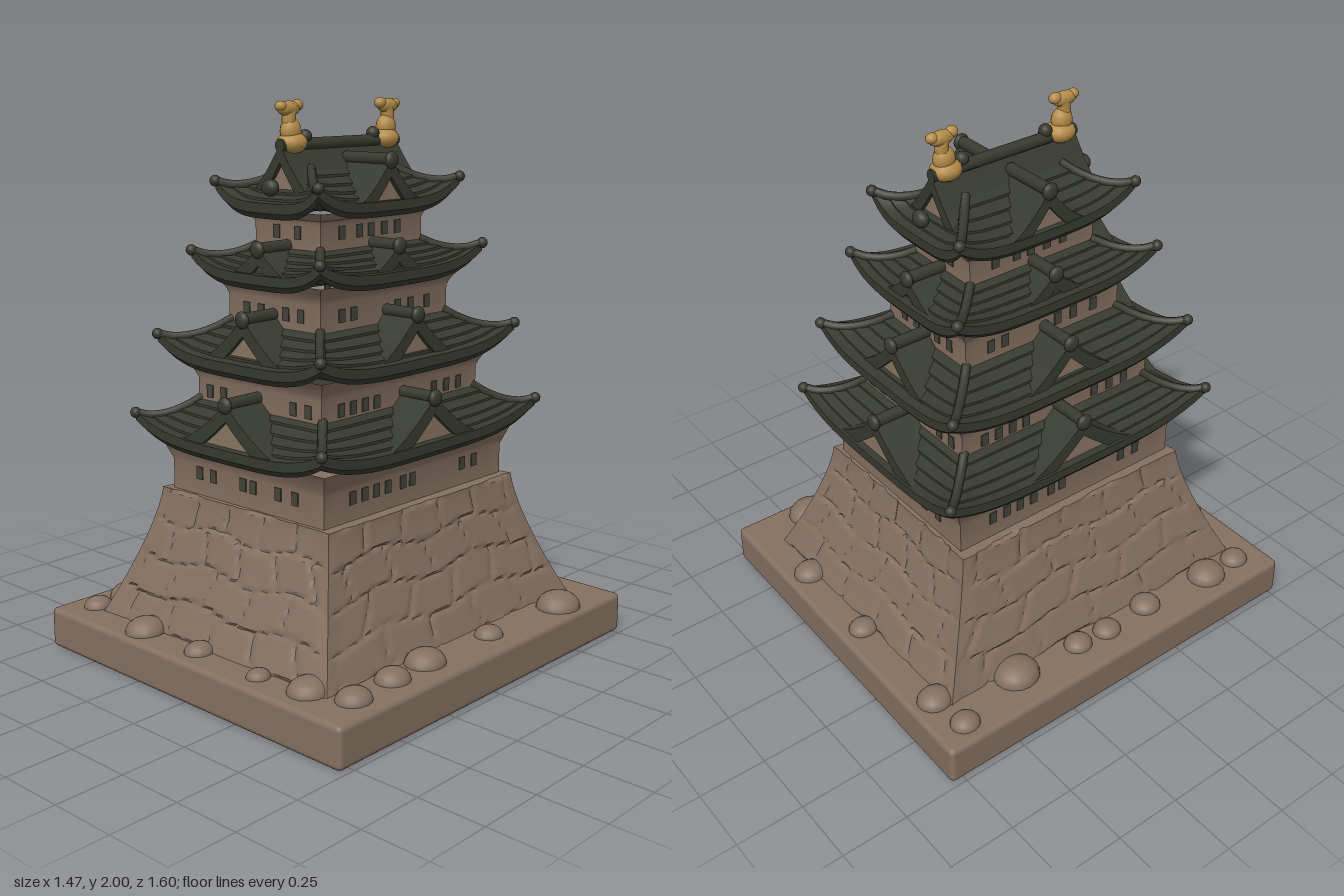
import * as THREE from 'three';
import { toCreasedNormals } from 'three/addons/utils/BufferGeometryUtils.js';
import { RoundedBoxGeometry } from 'three/addons/geometries/RoundedBoxGeometry.js';

const material = (name, color) => {
  const m = new THREE.MeshStandardMaterial({ color });
  m.name = name;
  return m;
};

// Skins a stack of rectangular rings [halfX, halfZ, y, cornerLift]; push moves a face point outwards
function loft(rings, segs = 16, push = () => 0) {
  const pos = [], index = [];
  for (let s = 0; s < 4; s++) {
    const start = pos.length / 3;
    rings.forEach(([hx, hz, y, lift = 0], j) => {
      for (let i = 0; i <= segs; i++) {
        const u = (i / segs) * 2 - 1;
        const d = push(u, j / (rings.length - 1), s);
        const p = [[u * hx, hz + d], [hx + d, -u * hz], [-u * hx, -hz - d], [-hx - d, u * hz]][s];
        pos.push(p[0], y + lift * Math.abs(u) ** 4, p[1]);
      }
    });
    for (let j = 0; j < rings.length - 1; j++) {
      for (let i = 0; i < segs; i++) {
        const a = start + j * (segs + 1) + i, b = a + segs + 1;
        index.push(a, a + 1, b + 1, a, b + 1, b);
      }
    }
  }
  const g = new THREE.BufferGeometry();
  g.setAttribute('position', new THREE.Float32BufferAttribute(pos, 3));
  g.setIndex(index);
  return toCreasedNormals(g, 0.6);
}

export function createModel() {
  const stone = material('stone', 0x857060);
  const plaster = material('plaster', 0x8a7463);
  const tile = material('roofTile', 0x373a30);
  const gold = material('gold', 0xb48c48);
  const dark = material('windowDark', 0x44433b);

  const model = new THREE.Group();
  model.name = 'castleTower';
  const add = (parent, name, geo, mat, x = 0, y = 0, z = 0) => {
    const m = new THREE.Mesh(geo, mat);
    m.name = name;
    m.position.set(x, y, z);
    parent.add(m);
    return m;
  };
  const ball = new THREE.SphereGeometry(1, 16, 10);
  const blob = (parent, name, mat, x, y, z, sx, sy, sz) =>
    add(parent, name, ball, mat, x, y, z).scale.set(sx, sy, sz);

  // Ground slab, very slightly skewed
  const slab = new RoundedBoxGeometry(1.47, 0.15, 1.58, 3, 0.02);
  slab.applyMatrix4(new THREE.Matrix4().set(1, 0, 0, 0, 0, 1, 0, 0, 0.015, 0, 1, 0, 0, 0, 0, 1));
  add(model, 'groundSlab', slab, stone, 0, 0.075, 0);

  // Boulders around the foot: x, z, radius
  [[-0.58, -0.4, 0.08], [-0.6, -0.13, 0.05], [-0.61, 0, 0.05], [-0.6, 0.2, 0.055], [-0.62, 0.5, 0.07],
    [-0.62, 0.65, 0.05], [-0.3, 0.69, 0.07], [-0.02, 0.69, 0.05], [0.28, 0.7, 0.04], [0.48, 0.67, 0.07],
    [0.63, 0.62, 0.06], [0.62, 0.42, 0.06], [0.61, 0.24, 0.07], [0.62, -0.1, 0.05], [0.64, -0.5, 0.08],
    [0.33, -0.69, 0.06], [-0.05, -0.7, 0.05], [-0.5, -0.7, 0.06], [-0.65, -0.68, 0.05],
  ].forEach(([x, z, r]) => blob(model, 'boulder', stone, x, 0.15, z, r, r * 0.75, r * 1.1));

  // Curved stone foundation with irregular blocks
  const rows = 44;
  const foundation = [];
  for (let j = 0; j <= rows; j++) {
    const v = j / rows, c = (1 - v) ** 1.35;
    foundation.push([0.41 + 0.155 * c, 0.5 + 0.175 * c, 0.14 + 0.48 * v]);
  }
  foundation.push([0, 0, 0.62]);
  add(model, 'stoneFoundation', loft(foundation, 64, (u, t, s) => {
    const r = t * 4 + 0.12 * Math.sin(u * 7 + s * 2);
    const row = Math.floor(r);
    const c = u * 2.6 + row * 0.43 + s * 0.3 + 0.12 * Math.sin(r * 2.3);
    const edge = Math.min(r - row, row + 1 - r, c - Math.floor(c), Math.floor(c) + 1 - c);
    const bulge = 0.006 * Math.sin(Math.floor(c) * 12.9 + row * 7.3 + s * 4.1);
    const fade = Math.min(1, (1 - Math.abs(u)) * 10) * (t > 0.98 ? 0 : 1);
    return fade * (bulge - 0.009 * Math.max(0, 1 - edge / 0.07));
  }), stone);

  // Curved gable facing +z: half width w, height h, from z0 to z1
  function gable(parent, w, h, z0, z1, y, angle, finial = true) {
    const g = new THREE.Group();
    g.name = 'gable';
    g.position.y = y;
    g.rotation.y = angle;
    const upper = [], lower = [];
    for (let i = -10; i <= 10; i++) {
      const t = i / 10, top = h * (1 - Math.abs(t)) ** 1.35;
      upper.push(new THREE.Vector2(t * w, top));
      lower.unshift(new THREE.Vector2(t * w, Math.max(-0.02, top - 0.06)));
    }
    const roof = new THREE.ExtrudeGeometry(new THREE.Shape([...upper, ...lower]),
      { depth: z1 - z0, bevelEnabled: false });
    add(g, 'gableRoof', toCreasedNormals(roof, 0.6), tile, 0, 0, z0);
    const panel = new THREE.Shape([[-0.62 * w, -0.02], [0.62 * w, -0.02], [0, h - 0.04]]
      .map(p => new THREE.Vector2(...p)));
    add(g, 'gablePanel', new THREE.ExtrudeGeometry(panel, { depth: 0.009, bevelEnabled: false }),
      plaster, 0, 0, z1 - 0.025);
    const ridge = new THREE.CylinderGeometry(0.022, 0.022, z1 - z0, 12).rotateX(Math.PI / 2);
    add(g, 'gableRidge', ridge, tile, 0, h - 0.002, (z0 + z1) / 2);
    if (finial) blob(g, 'gableFinial', tile, 0, h - 0.004, z1, 0.03, 0.03, 0.018);
    parent.add(g);
  }

  // Storeys: wall size, wall heights, eave size, top of the roof, gables and window positions
  const storeys = [
    { w: [0.37, 0.48], y: [0.6, 0.73], e: [0.455, 0.58], eave: 0.79, top: [0.29, 0.4, 0.96], lift: 0.065,
      gw: 0.24, gy: [0.84, 1.0], out: [0.445, 0.57], winY: 0.7,
      front: [-0.23, -0.16, -0.01, 0.04, 0.16, 0.24], side: [-0.34, -0.28, -0.22, -0.16, -0.08, -0.03, 0.25, 0.32] },
    { w: [0.3, 0.415], y: [0.9, 1.03], e: [0.395, 0.52], eave: 1.075, top: [0.21, 0.325, 1.24], lift: 0.065,
      gw: 0.21, gy: [1.12, 1.28], out: [0.365, 0.485], winY: 0.985,
      front: [-0.24, -0.17, 0.17, 0.24], side: [-0.32, -0.26, -0.2, -0.14, 0.17, 0.24, 0.31] },
    { w: [0.22, 0.335], y: [1.18, 1.33], e: [0.308, 0.43], eave: 1.37, top: [0.15, 0.26, 1.5], lift: 0.065,
      gw: 0.16, gy: [1.405, 1.51], out: [0.28, 0.41], winY: 1.285,
      front: [-0.13, -0.06, 0.06, 0.13], side: [-0.23, -0.17, 0.06, 0.13, 0.22] },
    { w: [0.155, 0.265], y: [1.46, 1.58], e: [0.245, 0.37], eave: 1.605, top: [0.05, 0.2, 1.77], lift: 0.07,
      gw: 0.15, gy: [1.66, 1.8], out: [0.24, 0], winY: 1.555,
      front: [-0.05, 0.05], side: [-0.16, -0.07, -0.01, 0.06, 0.13] },
  ];

  storeys.forEach((t, n) => {
    const g = new THREE.Group();
    g.name = 'storey' + (n + 1);
    model.add(g);
    const [wx, wz] = t.w, [ex, ez] = t.e, [tx, tz, ty] = t.top;

    // Walls flaring out under the eaves
    add(g, 'walls', loft([[wx, wz, t.y[0]], [wx, wz, t.y[1]], [wx + 0.008, wz + 0.008, t.y[1] + 0.02],
      [wx + 0.025, wz + 0.025, t.eave + 0.005], [wx + 0.045, wz + 0.045, t.eave + 0.025]]), plaster);

    // Swept roof in stepped tile courses
    const at = v => [ex + (tx - ex) * v, ez + (tz - ez) * v,
      t.eave + 0.045 + (ty - t.eave - 0.045) * v ** 1.4, t.lift * (1 - v) ** 2];
    const rings = [[wx, wz, t.eave + 0.03], [ex - 0.015, ez - 0.015, t.eave, t.lift], [ex, ez, t.eave + 0.02, t.lift]];
    const courses = 5;
    for (let k = 0; k < courses; k++) {
      for (const f of [0, 0.5, 1]) {
        const r = at((k + f) / courses);
        r[2] += 0.009 * (1 - f);
        rings.push(r);
      }
    }
    rings.push([0, 0, ty]);
    add(g, 'roof', loft(rings, 24), tile);

    // Corner ridges
    for (const sx of [-1, 1]) for (const sz of [-1, 1]) {
      const pts = [0, 0.2, 0.4, 0.6, 0.8, 1].map(v => {
        const [x, z, y, lift] = at(v);
        return new THREE.Vector3(sx * x, y + lift + 0.002, sz * z);
      });
      add(g, 'cornerRidge', new THREE.TubeGeometry(new THREE.CatmullRomCurve3(pts), 16, 0.016, 8), tile);
      blob(g, 'cornerTip', tile, pts[0].x, pts[0].y, pts[0].z, 0.02, 0.02, 0.02);
    }

    // Gables and windows on each face
    for (let s = 0; s < 4; s++) {
      const onX = s % 2, angle = s * Math.PI / 2;
      const out = t.out[1 - onX];
      if (out) gable(g, t.gw, t.gy[1] - t.gy[0], onX ? tx - 0.02 : tz - 0.02, out, t.gy[0], angle);
      const face = new THREE.Group();
      face.name = 'windows';
      face.rotation.y = angle;
      for (const x of onX ? t.side : t.front) {
        add(face, 'window', new THREE.BoxGeometry(0.03, 0.046, 0.008), dark, x, t.winY, onX ? wx : wz);
      }
      g.add(face);
    }
  });

  // Main ridge roof, closed by a gable at each end
  for (const angle of [0, Math.PI]) {
    gable(model, 0.165, 0.185, 0, 0.3, 1.665, angle, false);
  }

  // Gilded fish ornaments at the ridge ends
  for (const s of [-1, 1]) {
    const fish = new THREE.Group();
    fish.name = 'ridgeFish';
    fish.position.set(0, 1.82, s * 0.24);
    fish.rotation.y = s > 0 ? 0 : Math.PI;
    blob(fish, 'fishHead', gold, 0, 0.035, 0, 0.052, 0.038, 0.056);
    blob(fish, 'fishBody', gold, 0, 0.075, 0.006, 0.034, 0.045, 0.04);
    const back = new THREE.CatmullRomCurve3([[0.06, 0.005], [0.1, 0.014], [0.135, 0.012], [0.16, 0]]
      .map(([y, z]) => new THREE.Vector3(0, y, z)));
    add(fish, 'fishNeck', new THREE.TubeGeometry(back, 12, 0.024, 10), gold);
    blob(fish, 'fishTail', gold, 0, 0.15, 0.015, 0.025, 0.026, 0.05);
    blob(fish, 'tailFinOuter', gold, 0, 0.158, 0.052, 0.02, 0.018, 0.022);
    blob(fish, 'tailFinInner', gold, 0, 0.16, -0.025, 0.02, 0.02, 0.024);
    blob(fish, 'ridgeKnob', tile, 0, 0.055, -0.065, 0.024, 0.024, 0.024);
    model.add(fish);
    // Finial below the end gable
    blob(model, 'endFinial', tile, 0, 1.71, s * 0.345, 0.035, 0.03, 0.025);
  }
  return model;
}
